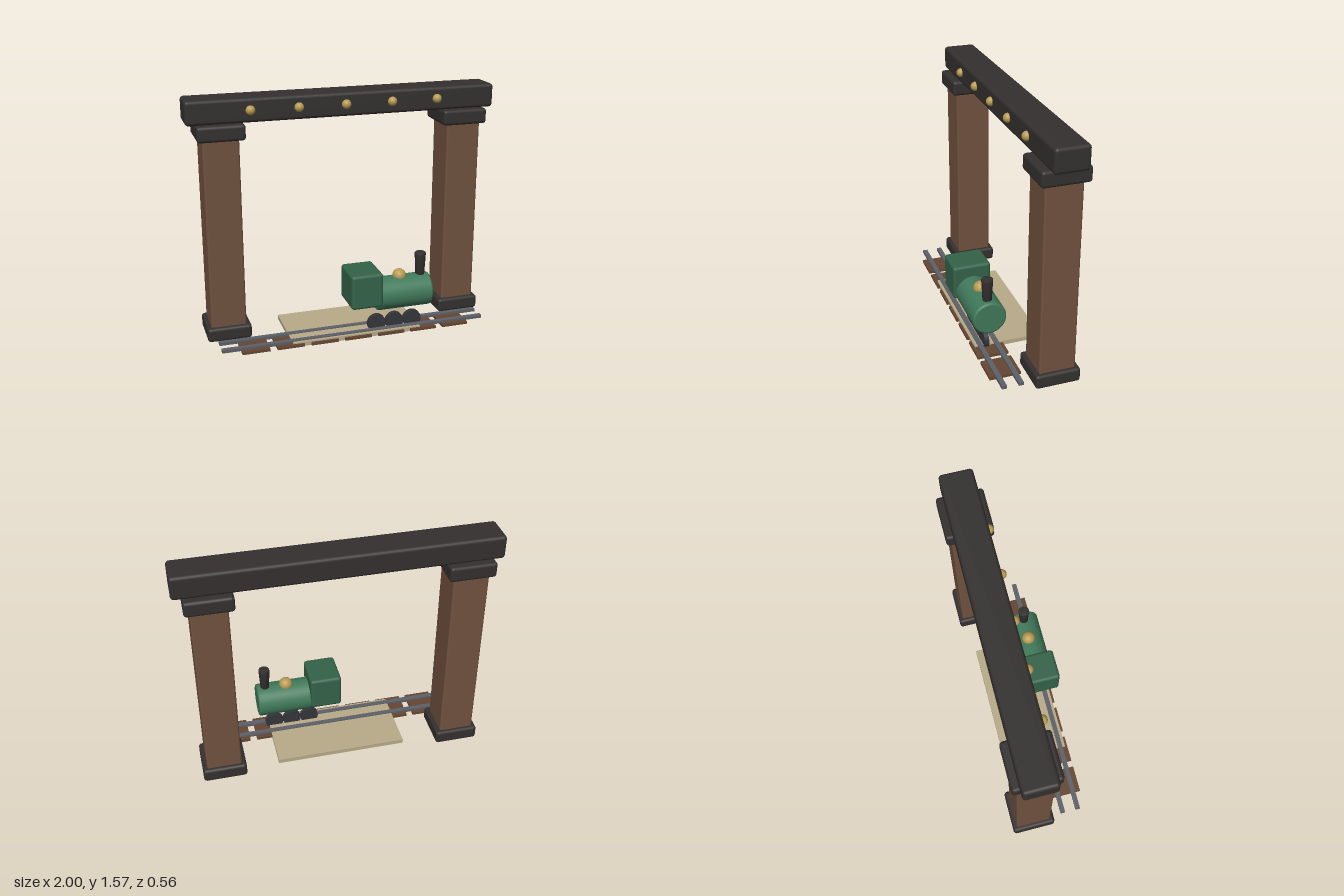
import * as THREE from 'three';
import { RoundedBoxGeometry } from 'three/addons/geometries/RoundedBoxGeometry.js';

const mat = (color) => new THREE.MeshStandardMaterial({ color });

export function createModel() {
  const model = new THREE.Group();
  const iron = mat(0x343030), wood = mat(0x70523f), cabGreen = mat(0x346349), boilerGreen = mat(0x40795a);
  const brass = mat(0xb89b52), stone = mat(0xb8ab88), steel = mat(0x5d6067), tie = mat(0x654632), wheelGrey = mat(0x35363a);

  const add = (parent, name, geometry, material, x = 0, y = 0, z = 0) => {
    const mesh = new THREE.Mesh(geometry, material);
    mesh.name = name;
    mesh.position.set(x, y, z);
    parent.add(mesh);
    return mesh;
  };
  // Box given by its extents; r > 0 rounds the edges
  const block = (parent, name, material, [x0, x1], [y0, y1], [z0, z1], r = 0) => {
    const size = [x1 - x0, y1 - y0, z1 - z0];
    const geometry = r ? new RoundedBoxGeometry(...size, 3, r) : new THREE.BoxGeometry(...size);
    return add(parent, name, geometry, material, (x0 + x1) / 2, (y0 + y1) / 2, (z0 + z1) / 2);
  };

  // Gateway: two pillars with bases and caps, carrying a studded beam
  const gate = new THREE.Group();
  gate.name = 'gateway';
  model.add(gate);
  for (const s of [-1, 1]) {
    const span = (a, b) => (s > 0 ? [a, b] : [-b, -a]);
    block(gate, 'pillarBase', iron, span(0.65, 0.935), [0.007, 0.1], [-0.272, 0.015], 0.02);
    block(gate, 'pillar', wood, span(0.68, 0.907), [0, 1.33], [-0.245, -0.013], 0.012);
    block(gate, 'pillarCap', iron, span(0.643, 0.94), [1.32, 1.42], [-0.28, 0.02], 0.02);
  }
  block(gate, 'beam', iron, [-1, 1], [1.418, 1.57], [-0.237, -0.024], 0.022);
  for (let i = -2; i <= 2; i++)
    add(gate, 'stud', new THREE.SphereGeometry(0.03, 20, 14), brass, i * 0.3025, 1.496, -0.022);

  // Platform slab and track
  const track = new THREE.Group();
  track.name = 'track';
  model.add(track);
  block(track, 'platform', stone, [-0.43, 0.43], [0.009, 0.038], [-0.21, 0.23]);
  for (let i = -3; i <= 3; i++) {
    const x = i * 0.2235;
    block(track, 'sleeper', tie, [x - 0.089, x + 0.089], [0.012, 0.03], [0.045, 0.246]);
  }
  for (const z of [0.088, 0.195])
    block(track, 'rail', steel, [-0.88, 0.88], [0.024, 0.044], [z - 0.016, z + 0.016]);

  // Locomotive
  const engine = new THREE.Group();
  engine.name = 'locomotive';
  engine.position.z = 0.155;
  model.add(engine);
  block(engine, 'cab', cabGreen, [-0.056, 0.154], [0.23, 0.46], [-0.125, 0.125], 0.02);

  // Boiler: a cylinder with softened rims, turned along x
  const R = 0.109, L = 0.365, c = 0.012;
  const half = [[0, 0], [R - c, 0], [R - c, 0], [R - c * 0.3, c * 0.3], [R, c], [R, c]];
  const profile = [...half, ...half.map(([r, y]) => [r, L - y]).reverse()].map(([r, y]) => new THREE.Vector2(r, y));
  const boiler = add(engine, 'boiler', new THREE.LatheGeometry(profile, 40), boilerGreen, 0.505, 0.274, 0);
  boiler.rotation.z = Math.PI / 2;

  add(engine, 'steamDome', new THREE.SphereGeometry(0.045, 24, 16), brass, 0.304, 0.383, -0.003);

  // Chimney flares slightly and has a rounded lip
  const stack = [[0, 0], [0.029, 0], [0.0365, 0.142], [0.0365, 0.152], [0.033, 0.157], [0, 0.157]]
    .map(([r, y]) => new THREE.Vector2(r, y));
  add(engine, 'chimney', new THREE.LatheGeometry(stack, 24), iron, 0.447, 0.373, 0);

  for (const x of [0.148, 0.271, 0.394]) {
    const wheel = add(engine, 'wheel', new THREE.CylinderGeometry(0.061, 0.061, 0.03, 28), wheelGrey, x, 0.068, 0.003);
    wheel.rotation.x = Math.PI / 2;
  }
  return model;
}
